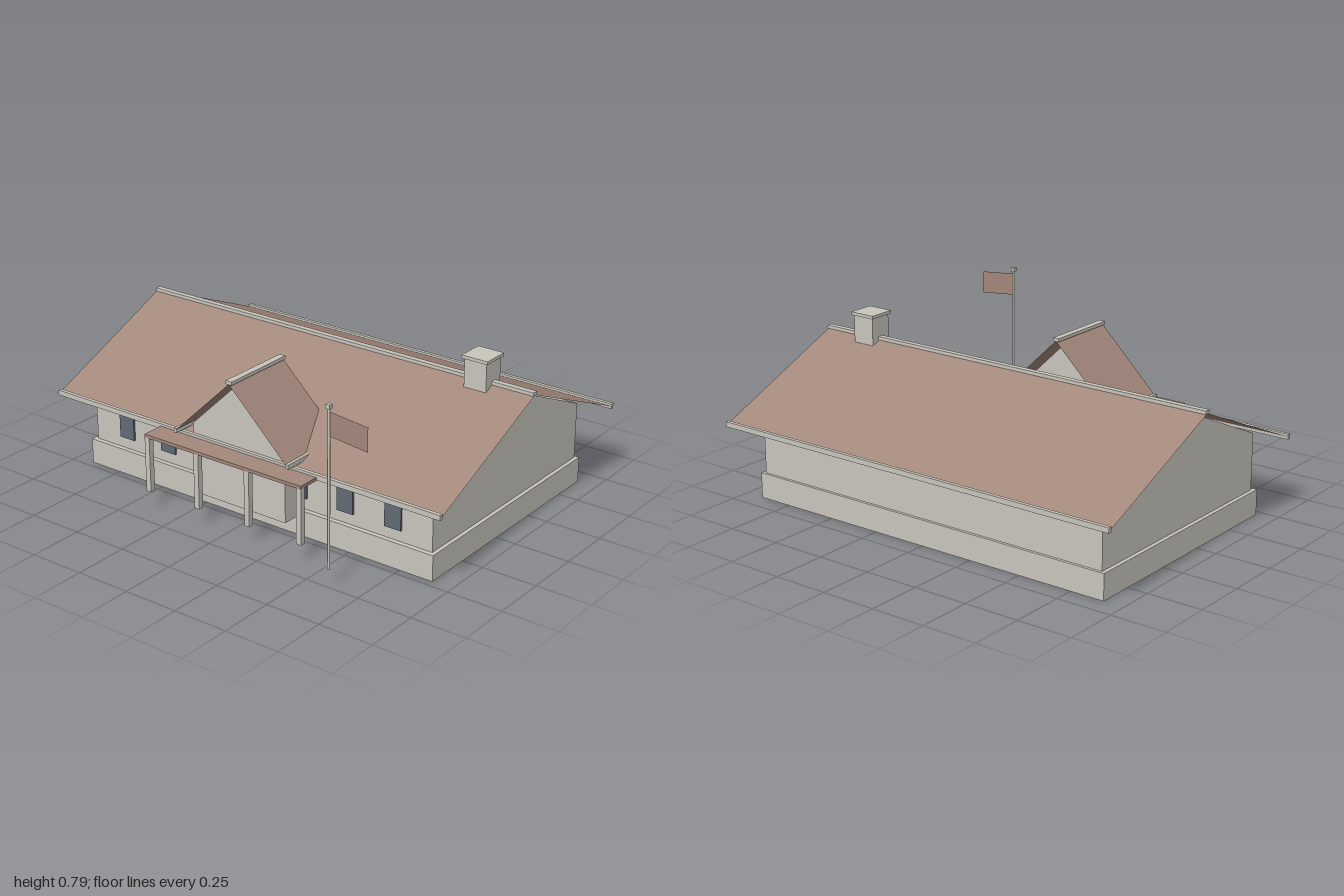
import * as THREE from 'three';
import { mergeGeometries } from 'three/addons/utils/BufferGeometryUtils.js';

const makeMaterial = (name, color) => {
  const m = new THREE.MeshStandardMaterial({ color, side: THREE.DoubleSide });
  m.name = name;
  return m;
};

export function createModel() {
  const model = new THREE.Group();
  const cream = makeMaterial('cream', 0xc9c6bd);
  const brown = makeMaterial('roofBrown', 0xa3877b);
  const slate = makeMaterial('windowSlate', 0x616c75);

  const add = (parent, name, geometry, material) => {
    const mesh = new THREE.Mesh(geometry, material);
    mesh.name = name;
    parent.add(mesh);
    return mesh;
  };

  // Box given by its low and high limits on each axis
  const box = (parent, name, material, [x0, x1], [y0, y1], [z0, z1]) => {
    const mesh = add(parent, name, new THREE.BoxGeometry(x1 - x0, y1 - y0, z1 - z0), material);
    mesh.position.set((x0 + x1) / 2, (y0 + y1) / 2, (z0 + z1) / 2);
    return mesh;
  };

  // Flat four-cornered sheet, corners counter-clockwise from its front
  const quad = (...corners) => {
    const [a, b, c, d] = corners;
    const g = new THREE.BufferGeometry();
    g.setAttribute('position', new THREE.Float32BufferAttribute([a, b, c, a, c, d].flat(), 3));
    g.computeVertexNormals();
    return g;
  };

  // Gabled walls, open below, with the ridge along z
  const gableWalls = (parent, name, w, base, eave, apex, z0, z1) => {
    const shape = new THREE.Shape([[-w, base], [w, base], [w, eave], [0, apex], [-w, eave]]
      .map(([x, y]) => new THREE.Vector2(x, y)));
    const front = new THREE.ShapeGeometry(shape).translate(0, 0, z1);
    const back = new THREE.ShapeGeometry(shape).rotateY(Math.PI).translate(0, 0, z0);
    const right = quad([w, base, z1], [w, base, z0], [w, eave, z0], [w, eave, z1]);
    const left = quad([-w, base, z0], [-w, base, z1], [-w, eave, z1], [-w, eave, z0]);
    const parts = [front, back, right, left].map((g) => {
      const flat = g.index ? g.toNonIndexed() : g;
      flat.deleteAttribute('uv');
      return flat;
    });
    add(parent, name, mergeGeometries(parts), cream);
  };

  // Two thin roof slopes with trim along the eaves and ridge
  const gableRoof = (parent, name, w, eave, ridge, z0, z1, trim) => {
    for (const s of [-1, 1]) {
      const a = [0, ridge, z0], b = [0, ridge, z1], c = [s * w, eave, z1], d = [s * w, eave, z0];
      add(parent, name + 'Slope', s > 0 ? quad(b, c, d, a) : quad(a, d, c, b), brown);
      box(parent, name + 'EaveTrim', cream, [s * w - trim.w / 2, s * w + trim.w / 2],
        [trim.y0, trim.y1], [z0, z1]);
    }
    box(parent, name + 'RidgeCap', cream, [-trim.ridge, trim.ridge],
      [ridge - 0.002, ridge + 0.013], [z0, z1]);
  };

  // Plinth, open underneath
  const plinth = new THREE.BoxGeometry(1.815, 0.115, 1.13);
  const faces = Array.from(plinth.index.array);
  faces.splice(18, 6);
  plinth.setIndex(faces);
  plinth.clearGroups();
  add(model, 'plinth', plinth, cream).position.set(0, 0.0575, -0.0975);

  // Main hall, ridge running left to right
  const hall = new THREE.Group();
  hall.name = 'mainHall';
  hall.rotation.y = Math.PI / 2;
  hall.position.z = -0.102;
  model.add(hall);
  gableWalls(hall, 'hallWalls', 0.548, 0.115, 0.37, 0.615, -0.89, 0.89);
  gableRoof(hall, 'hallRoof', 0.659, 0.345, 0.627, -1, 1,
    { w: 0.017, y0: 0.336, y1: 0.359, ridge: 0.013 });

  // Entrance block with its own cross gable
  const entrance = new THREE.Group();
  entrance.name = 'entrance';
  model.add(entrance);
  gableWalls(entrance, 'entranceWalls', 0.24, 0.085, 0.405, 0.637, 0.345, 0.55);
  gableRoof(entrance, 'entranceRoof', 0.293, 0.374, 0.657, 0.255, 0.605,
    { w: 0.014, y0: 0.364, y1: 0.384, ridge: 0.015 });

  // Porch canopy and its four posts
  box(model, 'porchCanopy', brown, [-0.41, 0.41], [0.333, 0.348], [0.44, 0.667]);
  for (const x of [-0.3975, -0.1325, 0.1325, 0.3975]) {
    box(model, 'porchPost', cream, [x - 0.0125, x + 0.0125], [0.085, 0.334], [0.641, 0.666]);
  }

  // Front windows as thin plates
  for (const s of [-1, 1]) {
    for (const x of [0.235, 0.47, 0.705]) {
      box(model, 'window', slate, [s * x - 0.04, s * x + 0.04], [0.167, 0.306], [0.448, 0.457]);
    }
  }

  // Chimney
  box(model, 'chimneyStack', cream, [0.697, 0.803], [0.55, 0.732], [-0.153, -0.047]);
  box(model, 'chimneyCap', cream, [0.688, 0.812], [0.73, 0.744], [-0.162, -0.038]);

  // Flagpole with a drooping flag
  const pole = add(model, 'flagpole', new THREE.CylinderGeometry(0.006, 0.006, 0.69, 8), cream);
  pole.position.set(0.615, 0.43, 0.757);
  box(model, 'flagpoleFinial', cream, [0.605, 0.625], [0.77, 0.788], [0.747, 0.767]);
  add(model, 'flag', quad([0.62, 0.655, 0.757], [0.797, 0.637, 0.757],
    [0.797, 0.74, 0.757], [0.62, 0.757, 0.757]), brown);

  return model;
}
